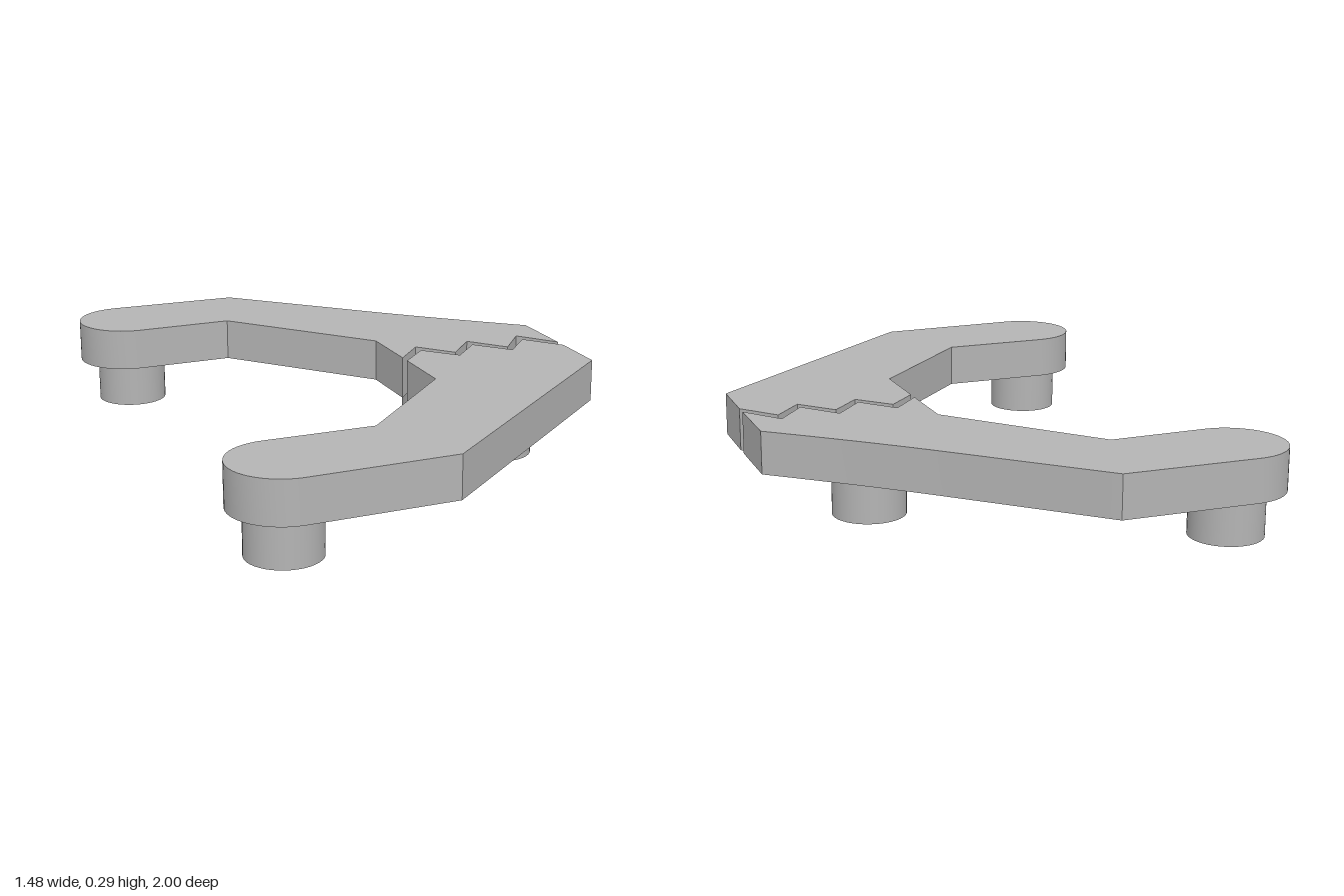
import * as THREE from 'three';
import { toCreasedNormals } from 'three/addons/utils/BufferGeometryUtils.js';

const BOTTOM = 0.15, THICK = 0.14;

export function createModel() {
  const model = new THREE.Group();
  model.name = 'splitBracket';
  const grey = new THREE.MeshStandardMaterial({ color: 0xb4b4b4 });
  grey.name = 'plain grey';

  // Flat arm: round tip on the -x end, then the remaining outline as [x, z] points
  function addArm(name, tipX, tipZ, outline) {
    const radius = 0.17, steps = 24, points = [];
    for (let i = 0; i <= steps; i++) {
      const a = Math.PI * (0.5 + i / steps);
      points.push([tipX + radius * Math.cos(a), tipZ + radius * Math.sin(a)]);
    }
    points.push(...outline);
    const shape = new THREE.Shape(points.map(([x, z]) => new THREE.Vector2(x, -z)));
    const geometry = new THREE.ExtrudeGeometry(shape, { depth: THICK, bevelEnabled: false });
    geometry.rotateX(-Math.PI / 2).translate(0, BOTTOM, 0);
    const mesh = new THREE.Mesh(toCreasedNormals(geometry, 0.3), grey);
    mesh.name = name;
    model.add(mesh);
  }

  // Saw-tooth joint, listed from the inner side to the outer side
  const toothX = [0.157, 0.252, 0.35, 0.446, 0.545, 0.637, 0.735];
  const backTeeth = [0.015, -0.093, 0.02, -0.093, 0.025, -0.093, 0.033];
  const frontTeeth = [0.052, -0.048, 0.056, -0.048, 0.062, -0.045, 0.073];
  const zigzag = (zs) => toothX.map((x, i) => [x, zs[i]]);

  // Slightly hollow outer edge of the back arm
  const hollow = new THREE.QuadraticBezierCurve(
    new THREE.Vector2(0.25, -0.64), new THREE.Vector2(0.42, -0.472), new THREE.Vector2(0.735, -0.21)
  ).getPoints(10).map((p) => [p.x, p.y]);

  addArm('backArm', -0.57, -0.83, [
    [-0.125, -1.0], ...hollow, ...zigzag(backTeeth).reverse(), [0.155, -0.215], [-0.24, -0.67],
  ]);
  addArm('frontArm', -0.56, 0.83, [
    [-0.205, 0.655], [0.158, 0.28], ...zigzag(frontTeeth), [0.733, 0.278], [-0.075, 0.982],
  ]);

  // Round pegs that the arms stand on
  const pegGeometry = new THREE.CylinderGeometry(0.119, 0.119, BOTTOM, 40);
  const pegs = {
    frontTipPeg: [-0.56, 0.828], frontJointPeg: [0.4, 0.23],
    backJointPeg: [0.4, -0.25], backTipPeg: [-0.56, -0.826],
  };
  for (const [name, [x, z]] of Object.entries(pegs)) {
    const peg = new THREE.Mesh(pegGeometry, grey);
    peg.name = name;
    peg.position.set(x, BOTTOM / 2, z);
    model.add(peg);
  }
  return model;
}
